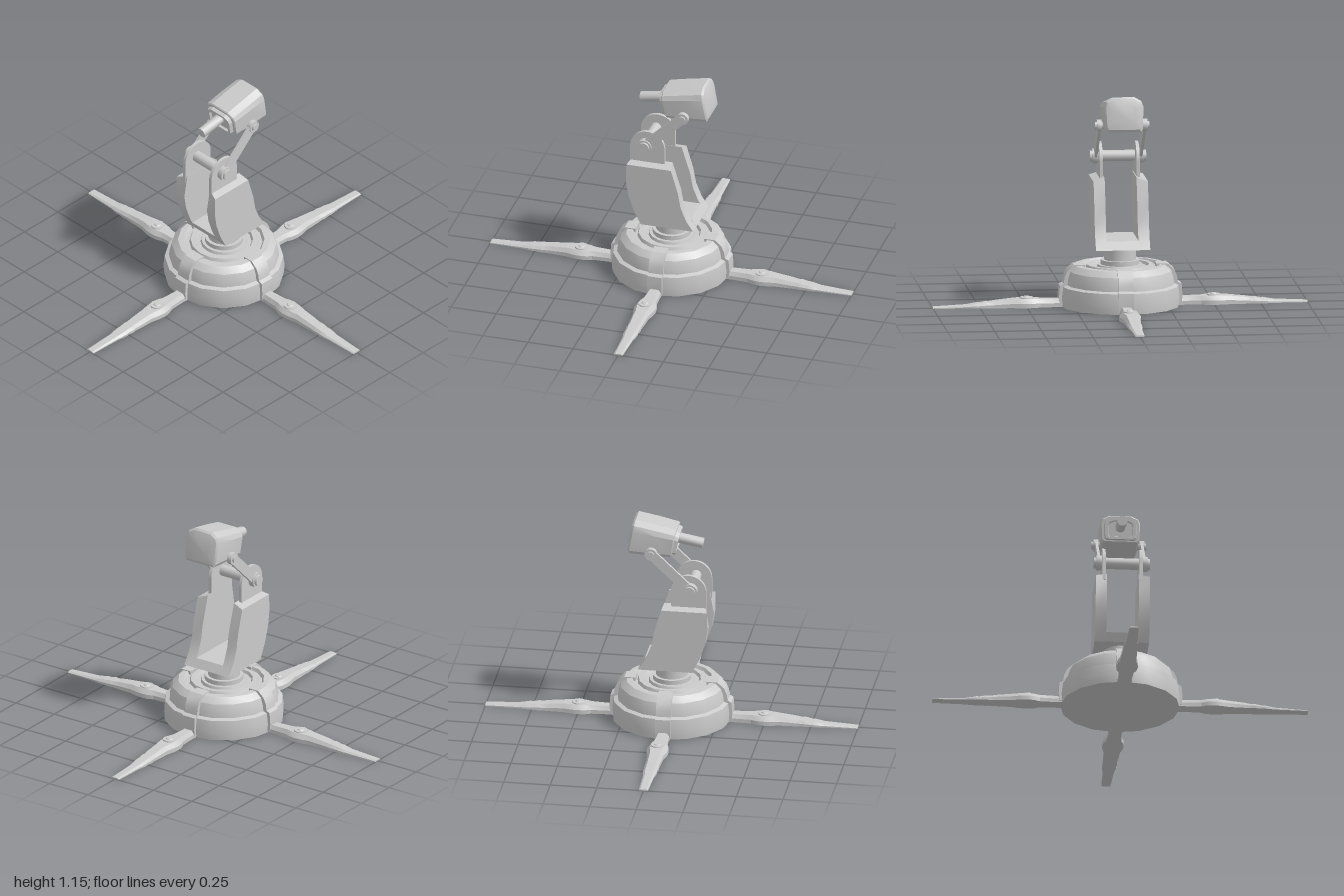
import * as THREE from 'three';
import { toCreasedNormals } from 'three/addons/utils/BufferGeometryUtils.js';

const material = new THREE.MeshStandardMaterial({ color: 0xcccccc });

function add(parent, name, geometry, crease = 0.6) {
  const mesh = new THREE.Mesh(toCreasedNormals(geometry, crease), material);
  mesh.name = name;
  parent.add(mesh);
  return mesh;
}

// Skin counter-clockwise rings [[x, y, z], ...] that advance along +z, with end caps
function loft(rings) {
  const n = rings[0].length, index = [];
  for (let i = 0; i < rings.length - 1; i++) {
    for (let j = 0; j < n; j++) {
      const a = i * n + j, b = i * n + (j + 1) % n;
      index.push(a, b, b + n, a, b + n, a + n);
    }
  }
  const last = (rings.length - 1) * n;
  for (let j = 1; j < n - 1; j++) index.push(0, j + 1, j, last, last + j, last + j + 1);
  const g = new THREE.BufferGeometry();
  g.setAttribute('position', new THREE.Float32BufferAttribute(rings.flat(2), 3));
  g.setIndex(index);
  return g;
}

// Extrude a (z, y) outline across x, from x0 to x1
function slab(shape, x0, x1) {
  return new THREE.ExtrudeGeometry(shape, { depth: x1 - x0, bevelEnabled: false, curveSegments: 12 })
    .rotateY(-Math.PI / 2).translate(x1, 0, 0);
}

const outline = pts => new THREE.Shape(pts.map(p => new THREE.Vector2(...p)));

// Cylinder lying along x between x0 and x1
function pin(r, x0, x1, y, z, sides = 16) {
  return new THREE.CylinderGeometry(r, r, x1 - x0, sides)
    .rotateZ(Math.PI / 2).translate((x0 + x1) / 2, y, z);
}

function createBase() {
  const base = new THREE.Group();
  base.name = 'base';
  // Stepped drum with grooved top
  const profile = [[0, 0], [0.318, 0], [0.322, 0.05], [0.315, 0.11], [0.293, 0.118],
    [0.288, 0.155], [0.277, 0.19], [0.245, 0.22], [0.215, 0.222], [0.205, 0.205], [0.185, 0.205],
    [0.178, 0.222], [0.155, 0.222], [0.147, 0.207], [0.125, 0.207], [0.12, 0.222], [0, 0.222]];
  add(base, 'drum', new THREE.LatheGeometry(profile.map(p => new THREE.Vector2(...p)), 16), 0.5);
  // Four raised ribs and legs
  const rib = outline([[0.2, 0.01], [0.325, 0.01], [0.33, 0.05], [0.325, 0.115], [0.305, 0.125],
    [0.3, 0.16], [0.285, 0.195], [0.25, 0.226], [0.19, 0.226]]);
  // Leg stations: distance, half width, height
  const stations = [[0.27, 0.04, 0.045], [0.34, 0.035, 0.042], [0.43, 0.04, 0.044], [0.46, 0.053, 0.046],
    [0.5, 0.058, 0.047], [0.54, 0.053, 0.046], [0.58, 0.043, 0.044], [0.66, 0.04, 0.036],
    [0.7, 0.037, 0.03], [0.715, 0.04, 0.031], [0.75, 0.036, 0.025], [0.765, 0.038, 0.025],
    [0.8, 0.034, 0.019], [0.82, 0.03, 0.016], [1, 0.024, 0.008]];
  const legRings = stations.map(([z, w, h]) => [[-w, 0, z], [w, 0, z], [w, h * 0.5, z],
    [w * 0.65, h, z], [-w * 0.65, h, z], [-w, h * 0.5, z]]);
  for (let k = 0; k < 4; k++) {
    const arm = new THREE.Group();
    arm.name = 'legAssembly';
    arm.rotation.y = k * Math.PI / 2;
    add(arm, 'rib', slab(rib, -0.04, 0.04));
    add(arm, 'leg', loft(legRings), 0.35);
    add(arm, 'legKnuckle', new THREE.CylinderGeometry(0.036, 0.05, 0.051, 12).translate(0, 0.0265, 0.5));
    add(arm, 'legCap', new THREE.CylinderGeometry(0.015, 0.02, 0.006, 10).translate(0, 0.054, 0.5));
    base.add(arm);
  }
  add(base, 'collar', new THREE.CylinderGeometry(0.103, 0.103, 0.03, 20).translate(0, 0.232, 0));
  add(base, 'post', new THREE.CylinderGeometry(0.085, 0.085, 0.1, 20).translate(0, 0.28, 0));
  return base;
}

function createYoke() {
  const yoke = new THREE.Group();
  yoke.name = 'yoke';
  const wall = outline([[0.13, 0.32], [-0.16, 0.32], [-0.12, 0.38], [-0.09, 0.455], [-0.075, 0.54],
    [-0.037, 0.67], [0.21, 0.67], [0.212, 0.57], [0.2, 0.49], [0.17, 0.4]]);
  const floor = outline([[0.13, 0.32], [-0.16, 0.32], [-0.132, 0.365], [0.152, 0.365]]);
  add(yoke, 'yokeFloor', slab(floor, -0.09, 0.09), 0.4);
  const ear = new THREE.Shape();
  ear.moveTo(0.01, 0.65);
  ear.lineTo(0.2, 0.65);
  ear.lineTo(0.2, 0.77);
  ear.absarc(0.105, 0.77, 0.095, 0, Math.PI);
  for (const s of [-1, 1]) {
    const g = slab(wall, s > 0 ? 0.085 : -0.145, s > 0 ? 0.145 : -0.085);
    // Top edge slopes up toward the inside
    const p = g.attributes.position;
    for (let i = 0; i < p.count; i++) {
      if (p.getY(i) > 0.66 && Math.abs(p.getX(i)) < 0.1) {
        p.setY(i, 0.69);
        p.setZ(i, p.getZ(i) > 0 ? 0.19 : -0.028);
      }
    }
    add(yoke, 'yokeWall', g, 0.4);
    add(yoke, 'ear', slab(ear, s > 0 ? 0.09 : -0.107, s > 0 ? 0.107 : -0.09));
  }
  return yoke;
}

function createLinkage() {
  const linkage = new THREE.Group();
  linkage.name = 'linkage';
  const low = [0.115, 0.785], high = [-0.095, 0.985];
  add(linkage, 'lowerAxle', pin(0.03, -0.15, 0.15, low[1], low[0]));
  const dz = high[0] - low[0], dy = high[1] - low[1], len = Math.hypot(dz, dy);
  const nz = -dy / len * 0.028, ny = dz / len * 0.028;
  const bar = outline([[low[0] + nz, low[1] + ny], [low[0] - nz, low[1] - ny],
    [high[0] - nz, high[1] - ny], [high[0] + nz, high[1] + ny]]);
  for (const s of [-1, 1]) {
    const span = (a, b) => (s > 0 ? [a, b] : [-b, -a]);
    add(linkage, 'linkBar', slab(bar, ...span(0.113, 0.128)));
    add(linkage, 'lowerBoss', pin(0.04, ...span(0.107, 0.137), low[1], low[0]));
    add(linkage, 'upperBoss', pin(0.033, ...span(0.11, 0.135), high[1], high[0]));
    add(linkage, 'upperPin', pin(0.02, ...span(0.07, 0.145), high[1], high[0]));
  }
  return linkage;
}

function createHead() {
  const head = new THREE.Group();
  head.name = 'head';
  head.position.set(0, 1.05, -0.09);
  head.rotation.x = 0.18;
  // Housing stations: depth, half width, bottom, top; the last ones form the front frame
  const stations = [[-0.13, 0.06, -0.06, 0.045], [-0.122, 0.095, -0.092, 0.072], [-0.112, 0.104, -0.104, 0.082],
    [0.0, 0.108, -0.088, 0.08], [0.108, 0.106, -0.07, 0.075], [0.113, 0.1, -0.066, 0.07],
    [0.113, 0.088, -0.06, 0.06], [0.133, 0.084, -0.058, 0.056], [0.133, 0.068, -0.046, 0.043],
    [0.12, 0.064, -0.042, 0.04]];
  add(head, 'housing', loft(stations.map(([z, w, b, t]) => {
    const h = t - b;
    return [[-w * 0.86, b, z], [w * 0.86, b, z], [w * 0.96, b + h * 0.1, z], [w, b + h * 0.72, z],
      [w * 0.9, b + h * 0.88, z], [w * 0.55, t, z], [-w * 0.55, t, z], [-w * 0.9, b + h * 0.88, z],
      [-w, b + h * 0.72, z], [-w * 0.96, b + h * 0.1, z]];
  })), 0.4);
  add(head, 'barrel', new THREE.CylinderGeometry(0.028, 0.028, 0.16, 14)
    .rotateX(Math.PI / 2).translate(0, 0.01, 0.182));
  return head;
}

export function createModel() {
  const model = new THREE.Group();
  model.name = 'turret';
  model.add(createBase(), createYoke(), createLinkage(), createHead());
  return model;
}
